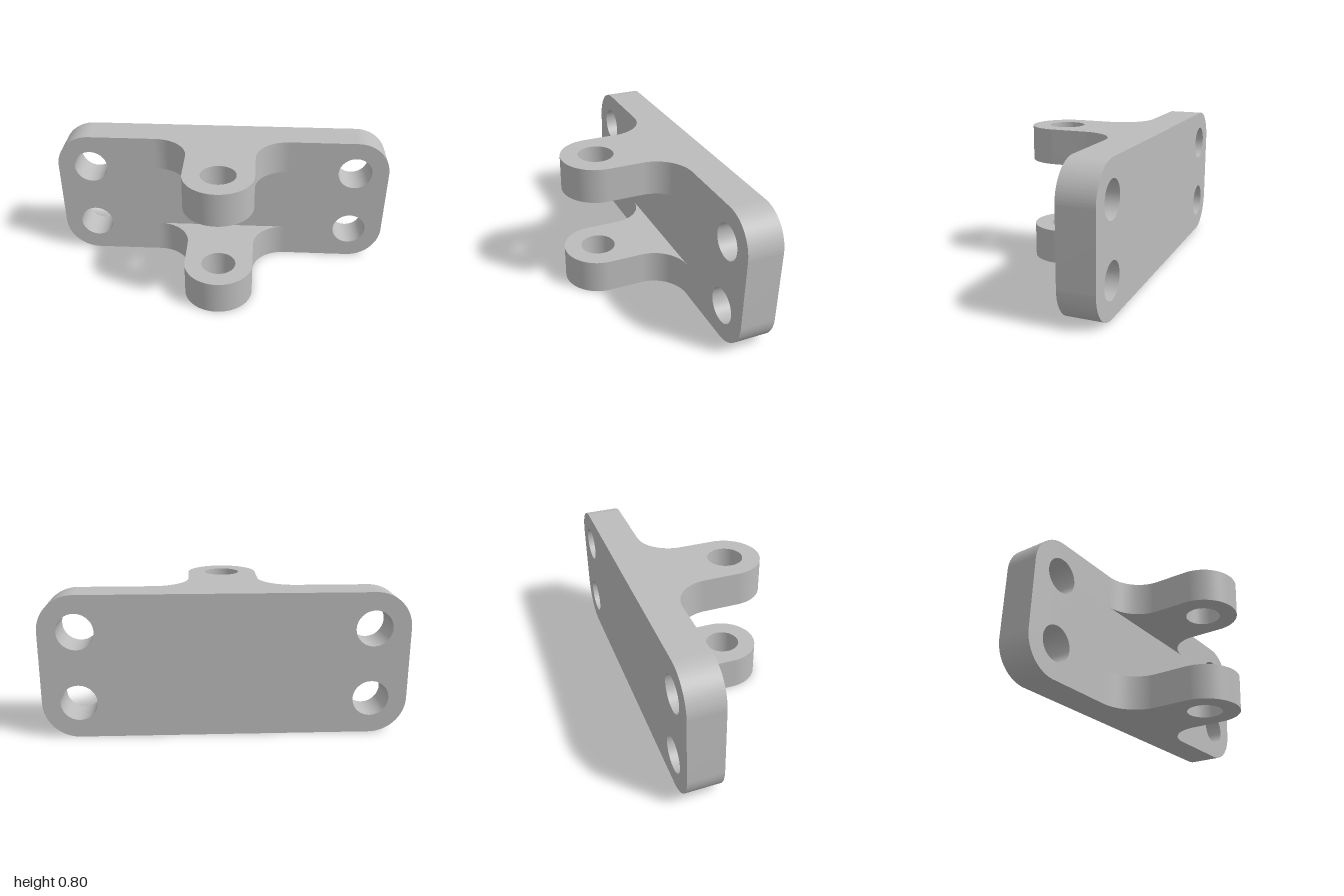
import * as THREE from 'three';
import { toCreasedNormals } from 'three/addons/utils/BufferGeometryUtils.js';

const HALF_PI = Math.PI / 2;

function addHole(shape, x, y, radius) {
  const hole = new THREE.Path();
  hole.absarc(x, y, radius, 0, Math.PI * 2, true);
  shape.holes.push(hole);
}

// Extrude with smooth arcs and sharp rims
function extrude(shape, depth) {
  const geometry = new THREE.ExtrudeGeometry(shape, { depth, bevelEnabled: false, curveSegments: 24 });
  return toCreasedNormals(geometry, 0.5);
}

// Rounded mounting plate with four bolt holes
function plateGeometry() {
  const shape = new THREE.Shape();
  shape.absarc(0.8, 0.2, 0.2, -HALF_PI, 0, false);
  shape.absarc(0.8, 0.6, 0.2, 0, HALF_PI, false);
  shape.absarc(-0.8, 0.6, 0.2, HALF_PI, Math.PI, false);
  shape.absarc(-0.8, 0.2, 0.2, Math.PI, Math.PI * 1.5, false);
  for (const x of [-0.8, 0.8]) {
    for (const y of [0.2, 0.6]) addHole(shape, x, y, 0.1);
  }
  return extrude(shape, 0.2).translate(0, 0, -0.4);
}

// Lug with round end, pin hole and filleted root; shape y becomes model z
function lugGeometry() {
  const shape = new THREE.Shape();
  shape.absarc(0.4, 0, 0.2, -HALF_PI, -Math.PI, true);
  shape.absarc(0, 0.2, 0.2, 0, Math.PI, false);
  shape.absarc(-0.4, 0, 0.2, 0, -HALF_PI, true);
  addHole(shape, 0, 0.2, 0.1);
  return extrude(shape, 0.2).rotateX(HALF_PI).translate(0, 0.2, 0);
}

export function createModel() {
  const metal = new THREE.MeshStandardMaterial({ color: 0xbcbcbc });
  metal.name = 'grey metal';

  const group = new THREE.Group();
  group.name = 'clevisBracket';

  const plate = new THREE.Mesh(plateGeometry(), metal);
  plate.name = 'mountingPlate';
  group.add(plate);

  // Matching lugs at the bottom and top edges
  const lug = lugGeometry();
  for (const [name, y] of [['lowerLug', 0], ['upperLug', 0.6]]) {
    const mesh = new THREE.Mesh(lug, metal);
    mesh.name = name;
    mesh.position.y = y;
    group.add(mesh);
  }
  return group;
}
